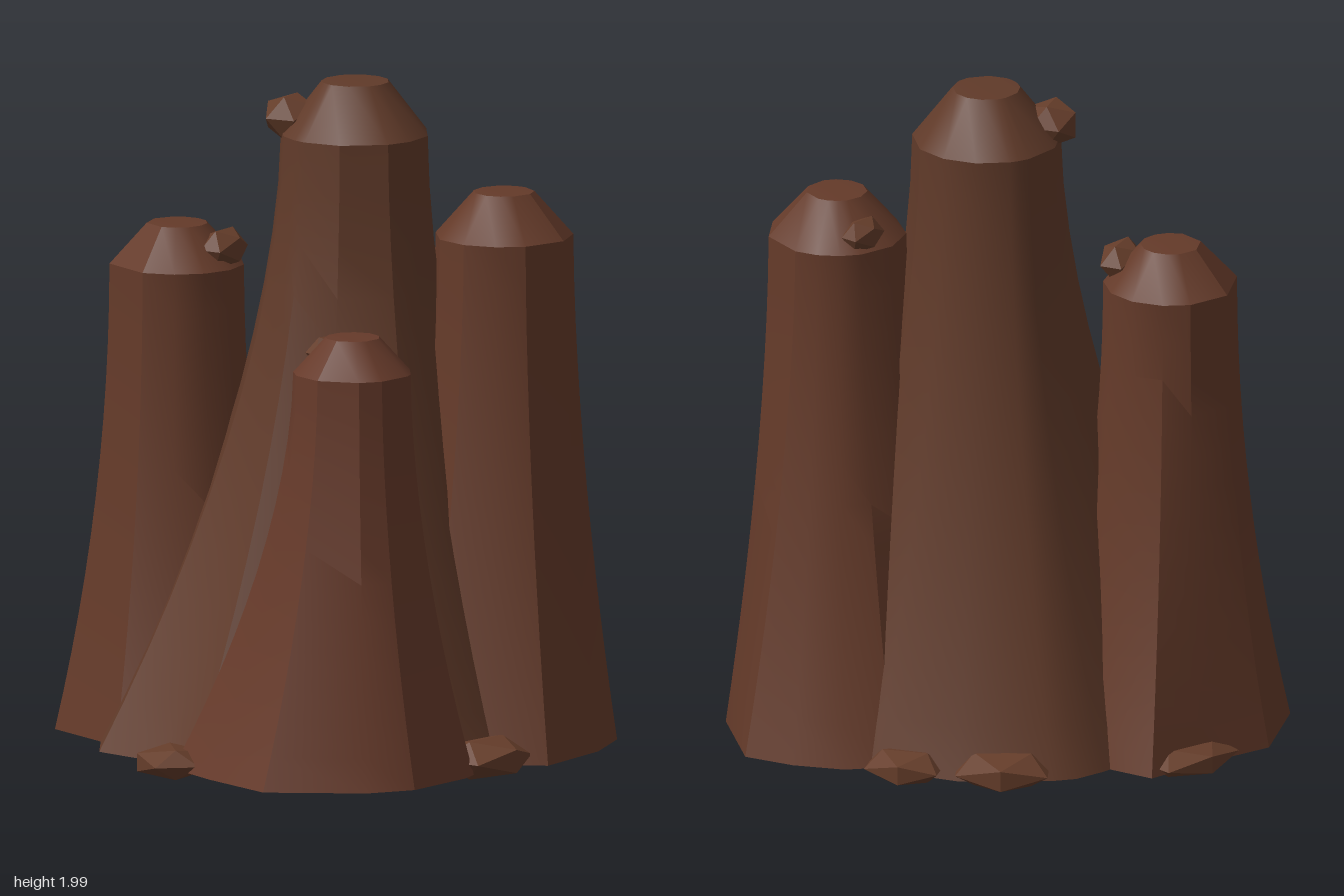
import * as THREE from 'three';
import { toCreasedNormals } from 'three/addons/utils/BufferGeometryUtils.js';

const STEPS = 12;
const FLOOR = 0.03;

// Spire: a faceted cap on a shoulder ring that flares down to an irregular footprint
function spireGeometry({ x, z, r, topR, shoulder, top, flare, foot }) {
  const spokes = foot
    .map(([px, pz]) => ({ a: Math.atan2(pz - z, px - x), d: Math.hypot(px - x, pz - z) }))
    .sort((p, q) => p.a - q.a);
  const n = spokes.length;
  const pos = [], index = [];
  const ring = (y, radius) => spokes.forEach(s => {
    const d = radius(s);
    pos.push(x + Math.cos(s.a) * d, y, z + Math.sin(s.a) * d);
  });
  ring(top, () => 0);
  ring(top - 0.005, () => topR);
  for (let i = 0; i <= STEPS; i++) {
    const u = i / STEPS;
    ring(shoulder + (FLOOR - shoulder) * u, s => r + (s.d - r) * u ** flare);
  }
  ring(FLOOR, () => 0);
  const rings = pos.length / 3 / n;
  for (let j = 0; j < rings - 1; j++) {
    for (let i = 0; i < n; i++) {
      const k = (i + 1) % n;
      const a = j * n + i, b = j * n + k, c = a + n, d = b + n;
      if (j > 0) index.push(a, b, c);
      if (j < rings - 2) index.push(b, d, c);
    }
  }
  const g = new THREE.BufferGeometry();
  g.setAttribute('position', new THREE.Float32BufferAttribute(pos, 3));
  g.setIndex(index);
  return toCreasedNormals(g, 0.5);
}

const spires = [
  { name: 'centralSpire', color: 0x603a29, x: 0.012, z: -0.02, r: 0.22, topR: 0.1, shoulder: 1.84, top: 2, flare: 1.7,
    foot: [[-0.76, -0.18], [-0.62, -0.42], [-0.3, -0.58], [0.03, -0.62], [0.13, -0.62], [0.2, -0.59],
      [0.42, -0.43], [0.56, -0.2], [0.6, 0.08], [0.45, 0.4], [0.2, 0.57], [-0.02, 0.6], [-0.37, 0.42],
      [-0.66, 0.2], [-0.68, 0.06]] },
  { name: 'rightFrontSpire', color: 0x643a29, x: 0.367, z: 0.24, r: 0.205, topR: 0.09, shoulder: 1.545, top: 1.68, flare: 1.7,
    foot: [[0.8, 0.11], [0.73, -0.03], [0.63, -0.15], [0.5, -0.22], [0.24, -0.2], [0.03, -0.05],
      [-0.05, 0.2], [0, 0.42], [0.14, 0.56], [0.29, 0.65], [0.53, 0.52], [0.67, 0.38]] },
  { name: 'frontSpire', color: 0x663a2a, x: -0.245, z: 0.43, r: 0.175, topR: 0.08, shoulder: 1.22, top: 1.33, flare: 1.75,
    foot: [[-0.24, 0.8], [-0.39, 0.78], [-0.65, 0.62], [-0.69, 0.36], [-0.7, 0.16], [-0.5, 0.06],
      [-0.26, -0.01], [-0.03, 0.1], [0.07, 0.3], [0.08, 0.5], [0.03, 0.67], [-0.02, 0.71]] },
  { name: 'backSpire', color: 0x643a29, x: -0.367, z: -0.42, r: 0.2, topR: 0.09, shoulder: 1.42, top: 1.545, flare: 2,
    foot: [[-0.48, -0.75], [-0.25, -0.74], [-0.05, -0.75], [0.03, -0.55], [0.02, -0.36], [-0.07, -0.18],
      [-0.22, -0.06], [-0.4, -0.03], [-0.56, -0.1], [-0.67, -0.24], [-0.7, -0.56]] },
];

// Rocks: position, half sizes, turn about y
const rocks = [
  ['footRock', [0.115, 0.062, 0.59], [0.15, 0.066, 0.135], 0.4],
  ['footRock', [-0.695, 0.05, 0.15], [0.125, 0.052, 0.125], 1.2],
  ['footRock', [0.3, 0.058, -0.485], [0.16, 0.06, 0.125], -0.7],
  ['footRock', [0.505, 0.053, -0.28], [0.13, 0.054, 0.105], -0.9],
  ['footRock', [-0.22, 0.049, -0.71], [0.165, 0.05, 0.115], 0.1],
  ['capRock', [-0.145, 1.885, -0.13], [0.083, 0.075, 0.088], 0.6],
  ['capRock', [-0.275, 1.475, -0.3], [0.09, 0.066, 0.065], 0.5],
  ['capRock', [0.39, 1.59, 0.08], [0.075, 0.055, 0.052], 0.2],
  ['capRock', [-0.24, 1.26, 0.295], [0.09, 0.055, 0.052], 0.1],
];

export function createModel() {
  const group = new THREE.Group();
  group.name = 'rockSpires';

  // Four merged spires
  for (const s of spires) {
    const mesh = new THREE.Mesh(spireGeometry(s), new THREE.MeshStandardMaterial({ color: s.color }));
    mesh.name = s.name;
    group.add(mesh);
  }

  // Loose rocks around the feet and on the shoulders
  const rockGeometry = new THREE.IcosahedronGeometry(1, 0);
  const loose = new THREE.MeshStandardMaterial({ color: 0x653d2a, flatShading: true });
  for (const [name, position, size, turn] of rocks) {
    const mesh = new THREE.Mesh(rockGeometry, loose);
    mesh.name = name;
    mesh.position.set(...position);
    mesh.scale.set(...size);
    mesh.rotation.y = turn;
    group.add(mesh);
  }
  return group;
}
